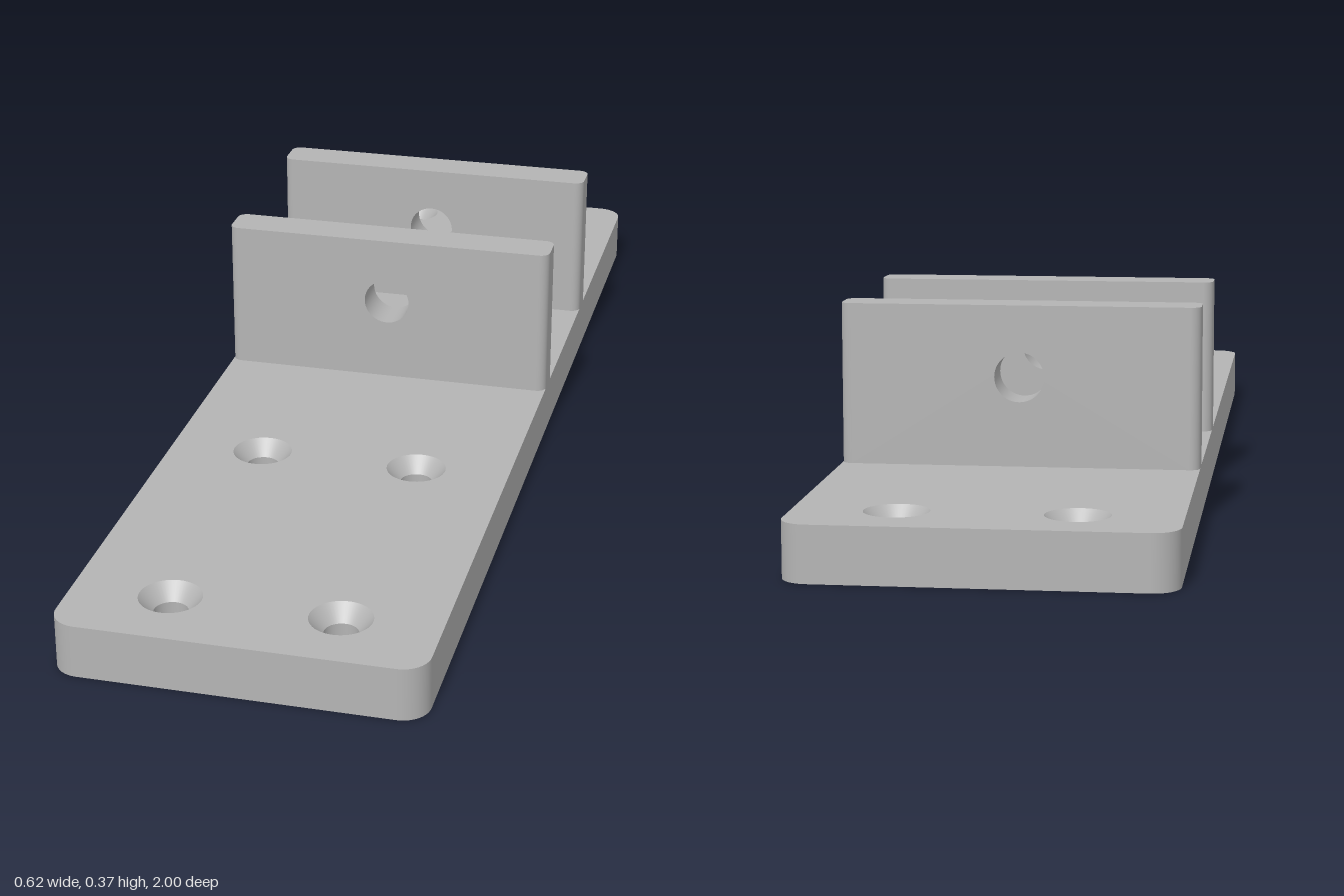
import * as THREE from 'three';

const W = 0.62, L = 2, T = 0.093, H = 0.372; // plate width, length, thickness, total height
const PLATE_R = 0.046, WALL_R = 0.0175, WALL_T = 0.0745;
const BORE_R = 0.029, SINK_R = 0.053, SINK_D = 0.028;
const PIN_R = 0.043, PIN_Y = 0.248;
const ARC = 10;

// Rounded rectangle as points with outward normals, corner by corner
function outline(w, l, r) {
  const pts = [];
  for (let k = 0; k < 4; k++) {
    const sx = k === 0 || k === 3 ? 1 : -1, sz = k < 2 ? 1 : -1;
    for (let i = 0; i <= ARC; i++) {
      const a = (k + i / ARC) * Math.PI / 2, c = Math.cos(a), s = Math.sin(a);
      pts.push({ x: sx * (w / 2 - r) + r * c, z: sz * (l / 2 - r) + r * s, c, s });
    }
  }
  return pts;
}

// Vertical band round an outline; openZ leaves out the flat front and back
function band(pts, y0, y1, openZ) {
  const pos = [], nor = [], idx = [], n = pts.length;
  pts.forEach((p, i) => {
    pos.push(p.x, y0, p.z, p.x, y1, p.z);
    nor.push(p.c, 0, p.s, p.c, 0, p.s);
    if (openZ && (i === ARC || i === 3 * ARC + 2)) return;
    const b = 2 * i, d = 2 * ((i + 1) % n);
    idx.push(b, b + 1, d, d, b + 1, d + 1);
  });
  const g = new THREE.BufferGeometry();
  g.setAttribute('position', new THREE.Float32BufferAttribute(pos, 3));
  g.setAttribute('normal', new THREE.Float32BufferAttribute(nor, 3));
  g.setIndex(idx);
  return g;
}

// Flat face with round holes, drawn in its own plane
function face(points, holes, r) {
  const s = new THREE.Shape(points);
  for (const [x, y] of holes) s.holes.push(new THREE.Path().absarc(x, y, r, 0, Math.PI * 2, true));
  return new THREE.ShapeGeometry(s, 24);
}

// Inward-facing hole lining, from its top radius to its bottom radius
const lining = (r1, y1, r0, y0) =>
  new THREE.LatheGeometry([new THREE.Vector2(r1, y1), new THREE.Vector2(r0, y0)], 48);

export function createModel() {
  const grey = new THREE.MeshStandardMaterial({ color: 0xb4b4b4 });
  grey.name = 'grey';
  const model = new THREE.Group();
  model.name = 'mountingBracket';
  const add = (parent, name, geo) => {
    const m = new THREE.Mesh(geo, grey);
    m.name = name;
    parent.add(m);
    return m;
  };

  // Base plate with six countersunk screw holes
  const plate = new THREE.Group();
  plate.name = 'basePlate';
  model.add(plate);
  const rim = outline(W, L, PLATE_R);
  const flat = rim.map(p => new THREE.Vector2(p.x, p.z));
  const screws = [-0.88, 0.34, 0.873].flatMap(z => [[-0.143, z], [0.143, z]]);
  add(plate, 'plateEdge', band(rim, 0, T, false));
  add(plate, 'plateTop', face(flat, screws.map(([x, z]) => [x, -z]), SINK_R)
    .rotateX(-Math.PI / 2).translate(0, T, 0));
  add(plate, 'plateBottom', face(flat, screws, BORE_R).rotateX(Math.PI / 2));
  for (const [x, z] of screws) {
    add(plate, 'countersink', lining(SINK_R, T, BORE_R, T - SINK_D)).position.set(x, 0, z);
    add(plate, 'screwBore', lining(BORE_R, T - SINK_D, BORE_R, 0)).position.set(x, 0, z);
  }

  // Two upright walls with a pin hole through each
  const wallRim = outline(W, WALL_T, WALL_R);
  const hw = W / 2 - WALL_R;
  const panel = [[-hw, T], [hw, T], [hw, H], [-hw, H]].map(p => new THREE.Vector2(...p));
  for (const [name, z] of [['frontWall', -0.062], ['backWall', -0.452]]) {
    const wall = new THREE.Group();
    wall.name = name;
    wall.position.z = z;
    model.add(wall);
    add(wall, 'wallEnds', band(wallRim, T, H, true));
    add(wall, 'wallTop', face(wallRim.map(p => new THREE.Vector2(p.x, p.z)), [], 0)
      .rotateX(-Math.PI / 2).translate(0, H, 0));
    for (const turn of [0, Math.PI])
      add(wall, 'wallFace', face(panel, [[0, PIN_Y]], PIN_R)
        .translate(0, 0, WALL_T / 2).rotateY(turn));
    add(wall, 'pinHole', lining(PIN_R, WALL_T / 2, PIN_R, -WALL_T / 2)
      .rotateX(Math.PI / 2).translate(0, PIN_Y, 0));
  }
  return model;
}
